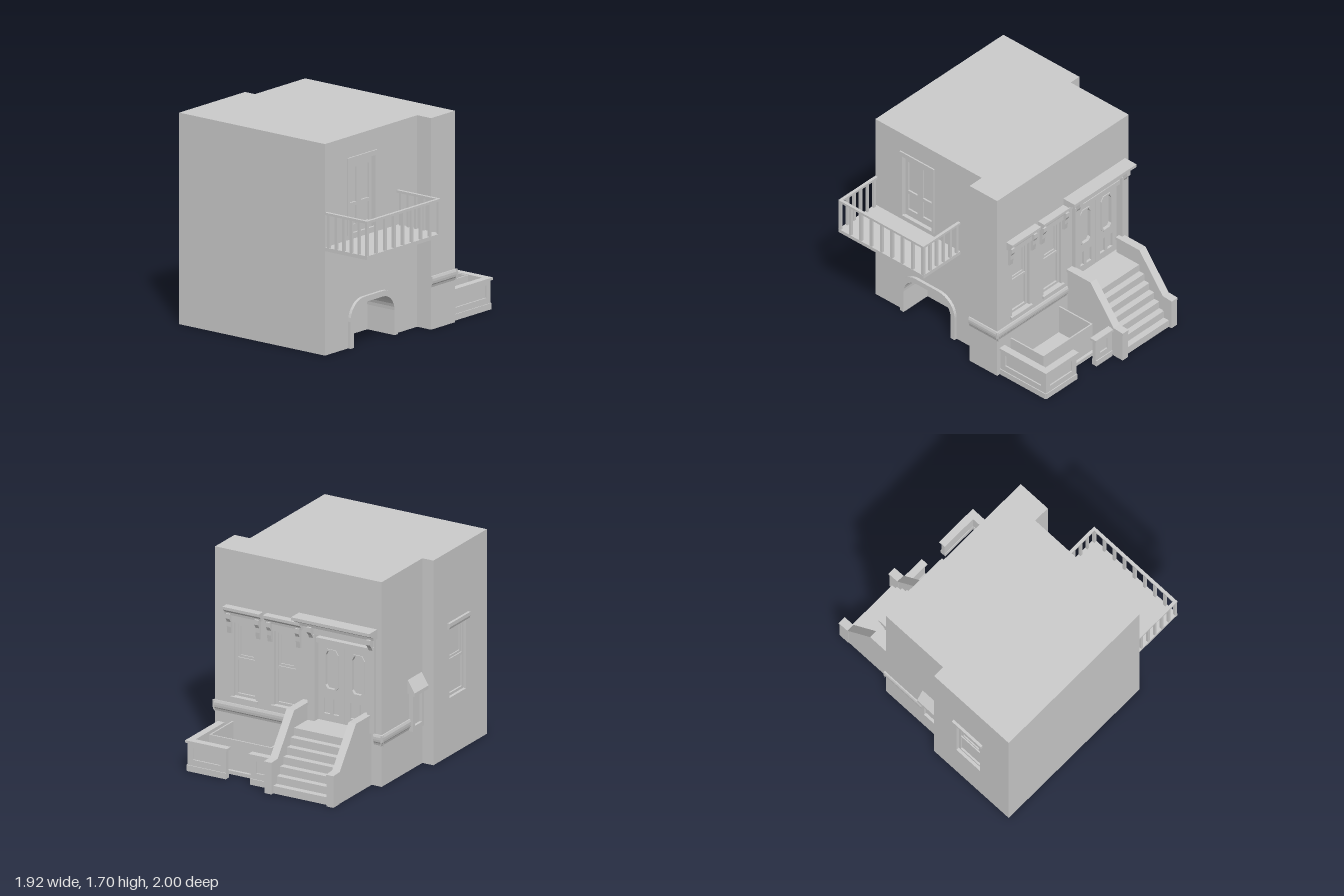
import * as THREE from 'three';

const mat = new THREE.MeshStandardMaterial({ color: 0xcccccc, flatShading: true, side: THREE.DoubleSide });

function add(parent, geo, name) {
  const m = new THREE.Mesh(geo, mat);
  m.name = name;
  parent.add(m);
  return m;
}
function box(g, name, x0, x1, y0, y1, z0, z1) {
  add(g, new THREE.BoxGeometry(x1 - x0, y1 - y0, z1 - z0), name)
    .position.set((x0 + x1) / 2, (y0 + y1) / 2, (z0 + z1) / 2);
}
const toShape = pts => new THREE.Shape(pts.map(p => new THREE.Vector2(p[0], p[1])));
const rect = (x0, x1, y0, y1) => [[x0, y0], [x1, y0], [x1, y1], [x0, y1]];

// flat outline with holes, its outer face at z
function plate(g, name, pts, holes, depth, z = 0) {
  const s = toShape(pts);
  holes.forEach(h => s.holes.push(new THREE.Path(h.map(p => new THREE.Vector2(p[0], p[1])))));
  add(g, new THREE.ExtrudeGeometry(s, { depth, bevelEnabled: false }), name).position.z = z - depth;
}
// side profile of [outward, height] points, run from u0 to u1 along a wall
function run(g, name, pts, u0, u1) {
  const geo = new THREE.ExtrudeGeometry(toShape(pts), { depth: u1 - u0, bevelEnabled: false });
  geo.rotateY(-Math.PI / 2);
  add(g, geo, name).position.x = u1;
}
// group whose local z points out of a wall
function facade(root, name, x, z, turn) {
  const g = new THREE.Group();
  g.name = name;
  g.position.set(x, 0, z);
  g.rotation.y = turn;
  root.add(g);
  return g;
}
// round-shouldered arch, from left foot to right foot
function archPts(c, half, top, r) {
  const pts = [[c - half, 0]];
  for (const side of [-1, 1])
    for (let i = 0; i <= 8; i++) {
      const a = (side < 0 ? Math.PI : Math.PI / 2) - (i / 8) * Math.PI / 2;
      pts.push([c + side * (half - r) + r * Math.cos(a), top - r + r * Math.sin(a)]);
    }
  pts.push([c + half, 0]);
  return pts;
}
// two-light sash set back in its opening
function sash(g, u0, u1, y0, y1) {
  const m = (y0 + y1) / 2, f = 0.022;
  plate(g, 'windowFrame', rect(u0, u1, y0, y1),
    [rect(u0 + f, u1 - f, y0 + f, m - f / 2), rect(u0 + f, u1 - f, m + f / 2, y1 - f)], 0.015, -0.025);
  plate(g, 'upperSash', rect(u0 + f, u1 - f, m, y1 - f), [rect(u0 + 0.04, u1 - 0.04, m + 0.03, y1 - 0.04)], 0.01, -0.035);
  box(g, 'windowPane', u0, u1, y0, y1, -0.055, -0.045);
}
function bracket(g, u, top, out) {
  run(g, 'bracket', [[0, top - 0.17], [0.02, top - 0.165], [0.028, top - 0.11], [out * 0.65, top - 0.07],
    [out, top - 0.04], [out, top], [0, top]], u - 0.018, u + 0.018);
}
// stepped cornice
function cornice(g, u0, u1, y, out, h) {
  run(g, 'cornice', [[0, y], [out * 0.45, y], [out * 0.5, y + h * 0.3], [out * 0.8, y + h * 0.55],
    [out * 0.85, y + h * 0.65], [out, y + h * 0.68], [out, y + h], [0, y + h]], u0, u1);
}
const bandProfile = [[0, 0.34], [0.006, 0.36], [0.013, 0.37], [0.016, 0.39], [0.016, 0.41], [0.01, 0.43], [0, 0.43]];

// low yard wall with one sunk panel
function yardWall(g, u0, u1) {
  plate(g, 'yardWallFace', rect(u0, u1, 0, 0.24), [rect(u0 + 0.05, u1 - 0.05, 0.1, 0.2)], 0.012);
  box(g, 'yardWallCore', u0, u1, 0, 0.24, -0.035, -0.012);
  box(g, 'yardWallBase', u0, u1, 0, 0.05, -0.04, 0.008);
  box(g, 'yardWallCap', u0 - 0.012, u1 + 0.012, 0.235, 0.255, -0.047, 0.013);
}

export function createModel() {
  const root = new THREE.Group();
  const H = 1.7;

  // house core
  const foot = [[-0.84, -0.35], [0.67, -0.35], [0.67, -0.12], [0.28, -0.12], [0.28, 1], [-0.88, 1], [-0.88, 0.2], [-0.84, 0.2]];
  const core = new THREE.ExtrudeGeometry(toShape(foot.map(p => [p[0], -p[1]])), { depth: H, bevelEnabled: false });
  core.rotateX(-Math.PI / 2);
  add(root, core, 'houseCore');

  // entrance wall
  const back = facade(root, 'entranceFacade', 0, -0.41, Math.PI);
  const winCentres = [-0.4, -0.035];
  plate(back, 'entranceWall', rect(-0.67, 0.84, 0, H),
    [rect(0.25, 0.73, 0.44, 1.16), ...winCentres.map(c => rect(c - 0.1, c + 0.1, 0.49, 1.11))], 0.06);
  run(back, 'wallBand', bandProfile, -0.686, 0.13);
  run(back, 'wallBand', bandProfile, 0.77, 0.856);
  for (const c of winCentres) {
    sash(back, c - 0.1, c + 0.1, 0.49, 1.11);
    box(back, 'windowSill', c - 0.12, c + 0.12, 0.465, 0.49, -0.03, 0.02);
    cornice(back, c - 0.165, c + 0.165, 1.17, 0.065, 0.07);
    box(back, 'windowLintel', c - 0.14, c + 0.14, 1.11, 1.17, 0, 0.015);
    for (const s of [-1, 1]) bracket(back, c + s * 0.13, 1.18, 0.045);
  }

  // double door and its surround
  for (const u of [0.25, 0.49]) {
    const tall = [[u + 0.08, 0.7], [u + 0.16, 0.7], [u + 0.185, 0.73], [u + 0.185, 1.0], [u + 0.16, 1.04],
      [u + 0.08, 1.04], [u + 0.055, 1.0], [u + 0.055, 0.73]];
    plate(back, 'doorLeaf', rect(u + 0.004, u + 0.236, 0.44, 1.09),
      [tall, rect(u + 0.05, u + 0.105, 0.5, 0.63), rect(u + 0.135, u + 0.19, 0.5, 0.63)], 0.02, -0.025);
    plate(back, 'doorMoulding', tall, [tall.map(([a, b]) => [u + 0.12 + (a - u - 0.12) * 0.75, 0.87 + (b - 0.87) * 0.92])], 0.03, -0.017);
  }
  box(back, 'doorBacking', 0.25, 0.73, 0.44, 1.16, -0.058, -0.045);
  box(back, 'doorTransom', 0.25, 0.73, 1.09, 1.13, -0.045, 0.01);
  box(back, 'doorLintel', 0.19, 0.79, 1.16, 1.22, 0, 0.03);
  for (const u of [0.22, 0.76]) {
    box(back, 'doorPilaster', u - 0.03, u + 0.03, 0.44, 1.16, 0, 0.035);
    bracket(back, u, 1.225, 0.075);
  }
  cornice(back, 0.09, 0.8, 1.22, 0.12, 0.08);

  // stoop: steps, side walls, copings
  const steps = [[0, 0], [0.555, 0]];
  for (let i = 0; i < 7; i++) {
    const d = 0.555 - 0.0525 * i;
    steps.push([d, 0.063 * (i + 1)]);
    if (i < 6) steps.push([d - 0.0525, 0.063 * (i + 1)]);
  }
  steps.push([0, 0.441]);
  run(back, 'steps', steps, 0.19, 0.7);
  for (const u of [0.163, 0.725]) {
    run(back, 'stoopSideWall', [[0, 0], [0.58, 0], [0.58, 0.25], [0.49, 0.25], [0.24, 0.57], [0, 0.57]], u - 0.025, u + 0.025);
    run(back, 'stoopCoping', [[0, 0.565], [0.235, 0.565], [0.48, 0.245], [0.59, 0.245], [0.59, 0.265], [0.495, 0.27],
      [0.25, 0.59], [0, 0.59]], u - 0.034, u + 0.034);
    box(back, 'stoopPier', u - 0.03, u + 0.03, 0, 0.25, 0.49, 0.584);
  }

  // sunken yard tray beside the steps
  box(back, 'yardFloor', -0.545, 0.07, 0, 0.03, 0, 0.37);
  box(back, 'yardCurb', -0.515, 0.05, 0.03, 0.28, 0.333, 0.345);
  for (const u of [-0.515, 0.038]) box(back, 'yardCurb', u, u + 0.012, 0.03, 0.28, 0, 0.345);

  // yard walls with a gate gap
  const rear = facade(root, 'yardWallBack', 0, -0.888, Math.PI);
  yardWall(rear, -0.632, -0.28);
  yardWall(rear, -0.06, 0.125);
  yardWall(facade(root, 'yardWallSide', 0.632, 0, Math.PI / 2), 0.41, 0.888);

  // balcony wall with carriage arch
  const right = facade(root, 'balconyFacade', 0.53, 0, Math.PI / 2);
  const inner = archPts(-0.4325, 0.2475, 0.34, 0.14);
  plate(right, 'balconyWall', [[-1, 0], ...inner, [0.12, 0], [0.12, H], [-1, H]],
    [rect(-0.71, -0.4, 0.91, 1.5)], 0.25);
  plate(right, 'archTrim', [...archPts(-0.4325, 0.2875, 0.385, 0.17), ...inner.slice().reverse()], [], 0.035, 0.025);
  plate(right, 'balconyDoorTrim', rect(-0.735, -0.375, 0.91, 1.53), [rect(-0.71, -0.4, 0.92, 1.49)], 0.02, 0.012);
  for (const u of [-0.71, -0.555])
    plate(right, 'balconyDoorLeaf', rect(u, u + 0.155, 0.91, 1.5),
      [rect(u + 0.027, u + 0.128, 1.15, 1.43), rect(u + 0.027, u + 0.128, 0.97, 1.12)], 0.02, -0.03);
  box(right, 'balconyDoorPane', -0.71, -0.4, 0.91, 1.5, -0.06, -0.045);
  const sideBand = facade(root, 'sideBand', 0.67, 0, Math.PI / 2);
  run(sideBand, 'wallBand', bandProfile, 0.12, 0.426);

  // balcony
  box(root, 'balconyFloor', 0.53, 0.955, 0.84, 0.87, 0.105, 1);
  for (const z of [0.105, 0.975]) {
    box(root, 'balconyRail', 0.53, 0.955, 1.13, 1.15, z, z + 0.025);
    for (let i = 0; i < 6; i++) {
      const x = 0.55 + i * 0.076;
      box(root, 'baluster', x, x + 0.022, 0.87, 1.13, z + 0.002, z + 0.023);
    }
  }
  box(root, 'balconyRail', 0.93, 0.955, 1.13, 1.15, 0.105, 1);
  for (let i = 0; i < 9; i++) {
    const z = 0.107 + i * 0.1085;
    box(root, 'baluster', 0.932, 0.953, 0.87, 1.13, z, z + 0.024);
  }

  // window wall opposite
  const left = facade(root, 'windowFacade', -0.94, 0, -Math.PI / 2);
  plate(left, 'windowWall', rect(0.2, 1, 0, H), [rect(0.44, 0.69, 0.48, 1.07)], 0.06);
  sash(left, 0.44, 0.69, 0.48, 1.07);
  run(left, 'windowHood', [[0, 1.06], [0.015, 1.06], [0.022, 1.08], [0.022, 1.11], [0, 1.11]], 0.41, 0.72);

  // set-back wall: band and hooded vent
  const side = facade(root, 'ventFacade', -0.84, 0, -Math.PI / 2);
  run(side, 'wallBand', bandProfile, -0.426, 0);
  plate(side, 'ventFrame', rect(0, 0.17, 0.33, 0.7), [rect(0.03, 0.14, 0.37, 0.62)], 0.035, 0.035);
  box(side, 'ventPanel', 0.02, 0.15, 0.35, 0.66, 0, 0.012);
  run(side, 'ventHood', [[0, 0.65], [0.062, 0.63], [0.062, 0.66], [0, 0.76]], -0.02, 0.19);

  return root;
}
